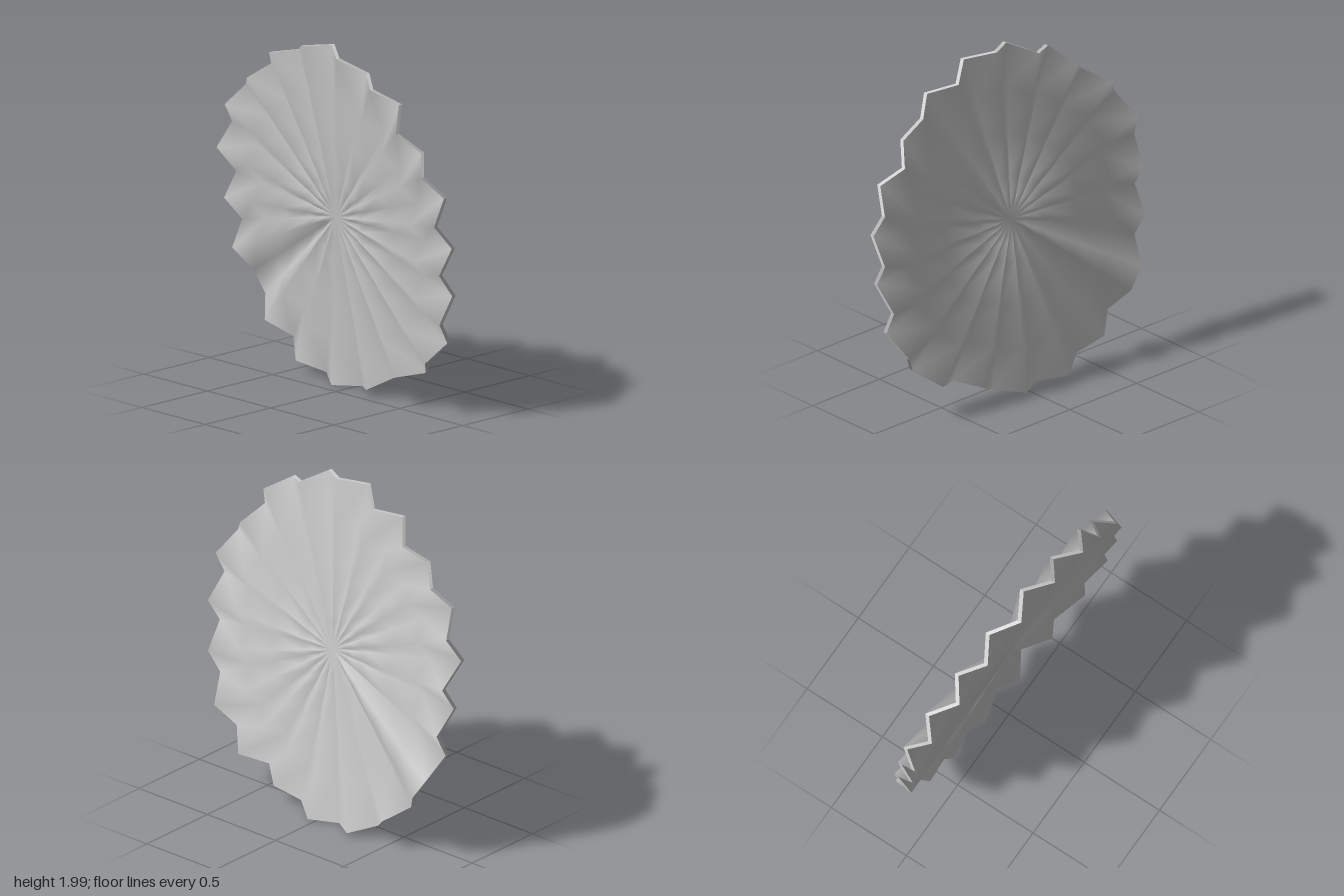
import * as THREE from 'three';

const FOLDS = 41;
const THICK = 0.025;
const RINGS = [0.12, 0.25, 0.5, 0.75, 1];
// slightly uneven length of each fold, counter-clockwise from +x
const RADII = [
  0.93, 0.92, 0.945, 0.93, 0.9, 0.9, 0.96, 0.96, 0.945, 0.985, 1.0, 0.987, 0.945, 0.968,
  0.927, 0.923, 0.957, 0.962, 0.962, 0.957, 0.897, 0.909, 0.905, 0.943, 0.958, 0.957, 0.973, 0.97,
  1.0, 1.005, 1.0, 0.987, 0.976, 0.936, 0.945, 0.994, 1.0, 0.997, 0.98, 0.94, 0.925,
];
const SEAM = 25; // two valleys meet between folds 24 and 25

// point on the pleated sheet: fold index, fraction of radius, depth behind the front
function sheetPoint(i, t, depth) {
  const a = (i / FOLDS) * Math.PI * 2;
  const x = Math.cos(a) * RADII[i] * t;
  const y = Math.sin(a) * RADII[i] * t;
  const ridge = (i < SEAM ? i % 2 === 1 : i % 2 === 0) ? 1 : -1;
  const z = 0.07 * x + 0.12 * y + ridge * 0.05 * Math.pow(t, 0.7) - depth;
  return [x, 1 + y, z];
}

function build(points, index) {
  const g = new THREE.BufferGeometry();
  g.setAttribute('position', new THREE.Float32BufferAttribute(points.flat(), 3));
  g.setIndex(index);
  g.computeVertexNormals();
  return g;
}

// one pleated face, fanned out from the centre
function faceGeometry(depth, flip) {
  const points = [[0, 1, -depth]];
  const index = [];
  const tri = (a, b, c) => (flip ? index.push(a, c, b) : index.push(a, b, c));
  RINGS.forEach((t, k) => {
    for (let i = 0; i < FOLDS; i++) {
      points.push(sheetPoint(i, t, depth));
      const j = (i + 1) % FOLDS;
      const o = 1 + k * FOLDS;
      if (k === 0) {
        tri(0, o + i, o + j);
      } else {
        const p = o - FOLDS;
        tri(p + i, o + i, o + j);
        tri(p + i, o + j, p + j);
      }
    }
  });
  return build(points, index);
}

// zigzag strip closing the outer edge
function rimGeometry() {
  const points = [];
  const index = [];
  for (let i = 0; i < FOLDS; i++) {
    const j = (i + 1) % FOLDS;
    const o = points.length;
    points.push(sheetPoint(i, 1, 0), sheetPoint(j, 1, 0), sheetPoint(i, 1, THICK), sheetPoint(j, 1, THICK));
    index.push(o, o + 2, o + 1, o + 1, o + 2, o + 3);
  }
  return build(points, index);
}

export function createModel() {
  const group = new THREE.Group();
  group.name = 'pleatedDisc';
  const material = new THREE.MeshStandardMaterial({ color: 0xcccccc });
  const add = (name, geometry) => {
    const mesh = new THREE.Mesh(geometry, material);
    mesh.name = name;
    group.add(mesh);
  };
  add('frontPleats', faceGeometry(0, false));
  add('backPleats', faceGeometry(THICK, true));
  add('rim', rimGeometry());
  return group;
}
